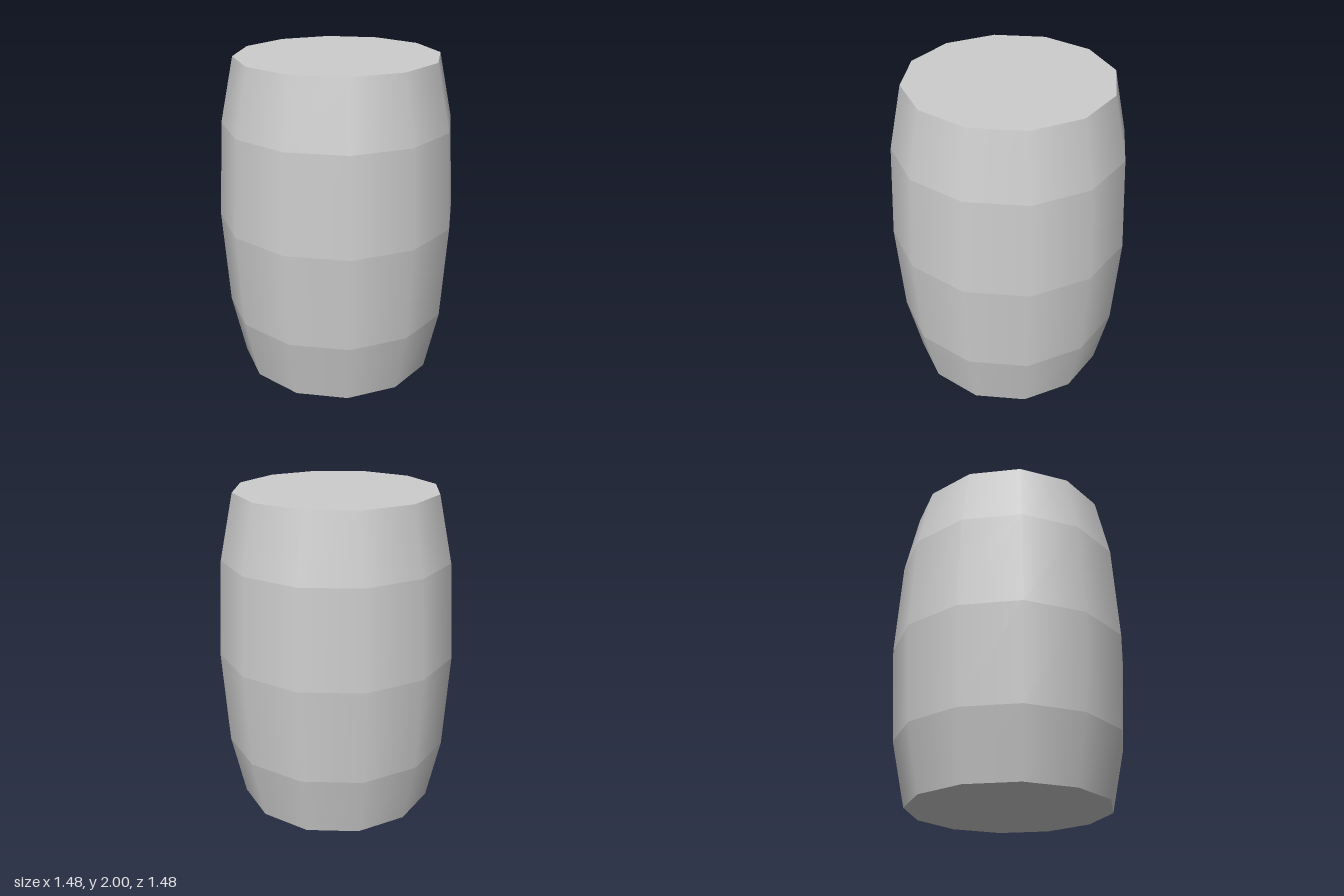
import * as THREE from 'three';

const SIDES = 12;
// Barrel profile from bottom to top: [radius, height]
const PROFILE = [[0.62, 0], [0.705, 0.4], [0.74, 1], [0.705, 1.6], [0.62, 2]];

export function createModel() {
  const barrel = new THREE.Group();
  barrel.name = 'barrel';
  const grey = new THREE.MeshStandardMaterial({ color: 0xcccccc });
  grey.name = 'light grey';

  function add(name, geometry, y) {
    const mesh = new THREE.Mesh(geometry, grey);
    mesh.name = name;
    mesh.position.y = y;
    barrel.add(mesh);
    return mesh;
  }

  // Wall bands: smooth around the barrel, with a crease between bands
  const bandNames = ['bottomBand', 'lowerBellyBand', 'upperBellyBand', 'topBand'];
  bandNames.forEach((name, i) => {
    const [r0, y0] = PROFILE[i];
    const [r1, y1] = PROFILE[i + 1];
    add(name, new THREE.CylinderGeometry(r1, r0, y1 - y0, SIDES, 1, true), (y0 + y1) / 2);
  });

  // Flat ends
  add('lid', new THREE.CircleGeometry(0.62, SIDES), 2).rotation.x = -Math.PI / 2;
  add('base', new THREE.CircleGeometry(0.62, SIDES), 0).rotation.x = Math.PI / 2;

  return barrel;
}
